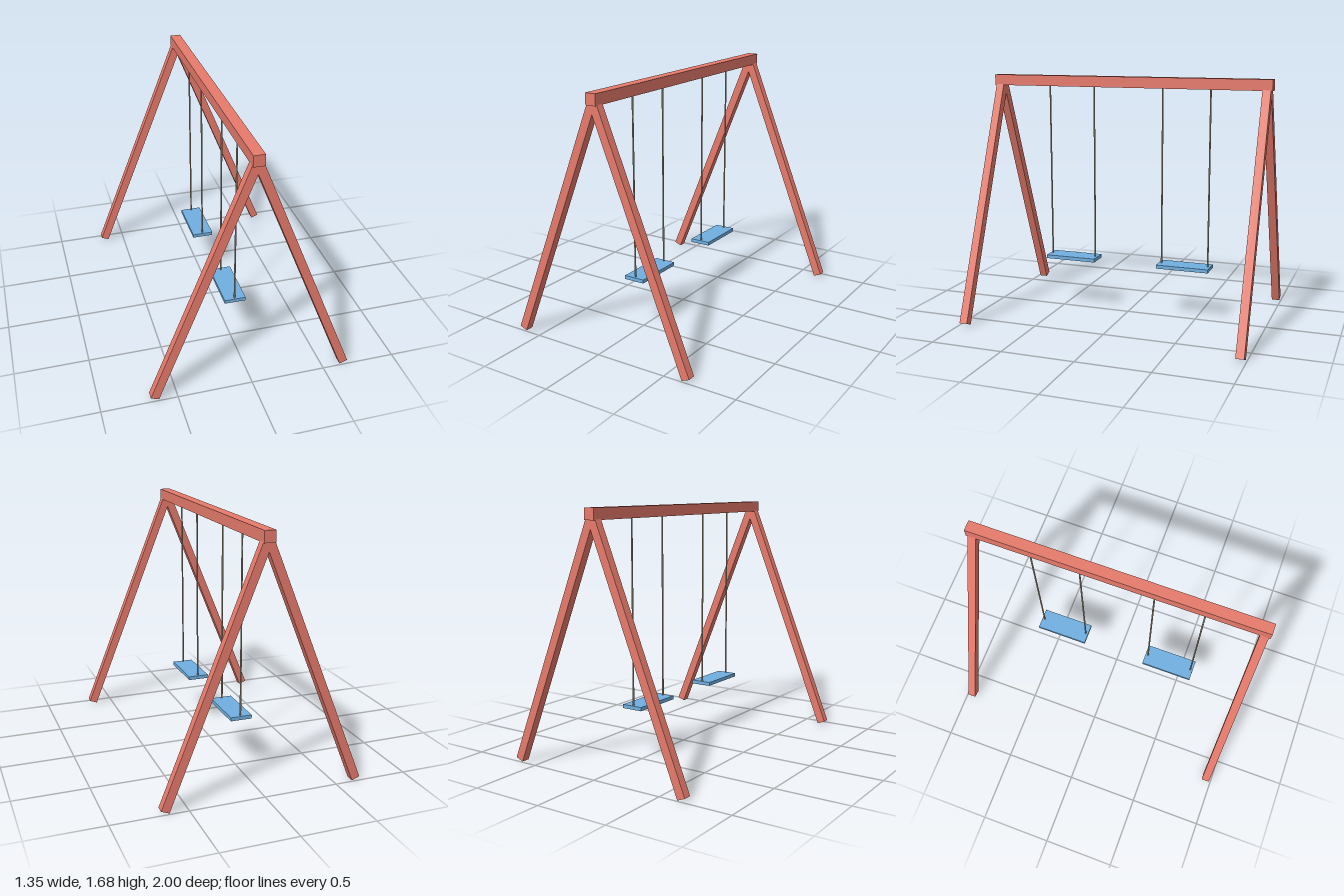
import * as THREE from 'three';

export function createModel() {
  const model = new THREE.Group();
  model.name = 'swingSet';

  const material = (name, color) => {
    const m = new THREE.MeshStandardMaterial({ color });
    m.name = name;
    return m;
  };
  const redWood = material('redWood', 0xe67a6b);
  const blueSeat = material('blueSeat', 0x70afe0);
  const ropeTan = material('ropeTan', 0xb3a78e);

  const add = (parent, name, geometry, mat, x, y, z) => {
    const mesh = new THREE.Mesh(geometry, mat);
    mesh.name = name;
    mesh.position.set(x, y, z);
    parent.add(mesh);
    return mesh;
  };

  // Top beam
  add(model, 'topBeam', new THREE.BoxGeometry(0.074, 0.074, 2), redWood, 0, 1.646, 0);

  // Splayed legs, a pair at each end
  const footX = 0.649, footY = 0.011, apexY = 1.63;
  const rise = apexY - footY;
  const legGeometry = new THREE.BoxGeometry(0.057, Math.hypot(footX, rise), 0.056);
  for (const end of [1, -1]) {
    for (const side of [1, -1]) {
      const name = (end > 0 ? 'front' : 'back') + (side > 0 ? 'Left' : 'Right') + 'Leg';
      const leg = add(model, name, legGeometry, redWood,
        side * footX / 2, (footY + apexY) / 2, end * 0.961);
      leg.rotation.z = side * Math.atan2(footX, rise);
    }
  }

  // Two swings, each a plank on two ropes
  const seatGeometry = new THREE.BoxGeometry(0.147, 0.025, 0.371);
  const ropeBottom = 0.385, ropeTop = 1.62;
  const ropeGeometry = new THREE.CylinderGeometry(0.0055, 0.0055, ropeTop - ropeBottom, 20);
  for (const end of [1, -1]) {
    const swing = new THREE.Group();
    swing.name = end > 0 ? 'frontSwing' : 'backSwing';
    swing.position.z = end * 0.417;
    add(swing, 'seat', seatGeometry, blueSeat, 0, 0.376, 0);
    for (const s of [1, -1]) {
      add(swing, 'rope', ropeGeometry, ropeTan, 0, (ropeBottom + ropeTop) / 2, s * 0.167);
    }
    model.add(swing);
  }

  return model;
}
